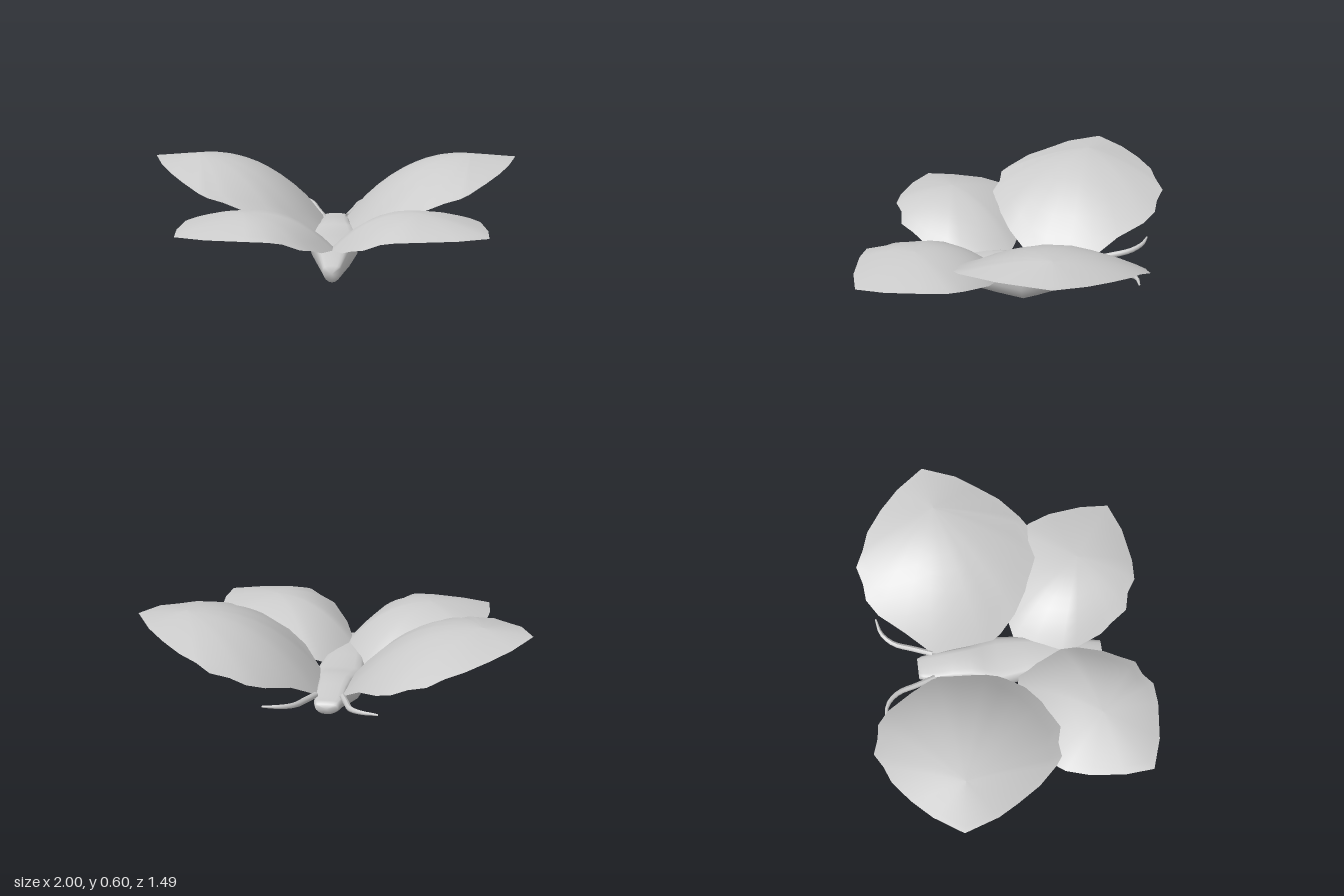
import * as THREE from 'three';

const material = new THREE.MeshStandardMaterial({ color: 0xcccccc, side: THREE.DoubleSide });

function meshFrom(name, positions, index) {
  const geometry = new THREE.BufferGeometry();
  geometry.setAttribute('position', new THREE.Float32BufferAttribute(positions, 3));
  geometry.setIndex(index);
  geometry.computeVertexNormals();
  const mesh = new THREE.Mesh(geometry, material);
  mesh.name = name;
  return mesh;
}

// Domed wing skin: rings spread from a crown point to an [x, y, z] outline.
// The curve is rounder at the root than at the tip.
// hole is the fraction of the outline left open around the crown.
function wingSkin(name, side, crown, outline, rootPower, tipPower, hole = 0) {
  const n = outline.length;
  const rings = 8;
  const positions = [];
  const index = [];
  for (let r = 0; r <= rings; r++) {
    const t = hole + (1 - hole) * (r / rings);
    outline.forEach(([x, y, z], j) => {
      const drop = Math.pow(t, rootPower + (tipPower - rootPower) * x);
      positions.push(
        side * (crown[0] + (x - crown[0]) * t),
        crown[1] + (y - crown[1]) * drop,
        crown[2] + (z - crown[2]) * t
      );
      if (r === rings) return;
      const k = (j + 1) % n;
      const a = r * n;
      const b = a + n;
      index.push(a + j, b + j, b + k, a + j, b + k, a + k);
    });
  }
  return meshFrom(name, positions, index);
}

// Body lofted through sections of [z, half width, bottom, top]
function body() {
  const sections = [
    [0.52, 0.045, 0.105, 0.19], [0.3, 0.082, 0.06, 0.225], [0.1, 0.115, 0.022, 0.235],
    [-0.05, 0.135, 0, 0.225], [-0.13, 0.115, 0.025, 0.24], [-0.2, 0.092, 0.05, 0.245],
    [-0.3, 0.082, 0.088, 0.24], [-0.41, 0.076, 0.128, 0.217], [-0.46, 0.067, 0.145, 0.22],
    [-0.485, 0.058, 0.155, 0.21]
  ];
  const n = 16;
  const positions = [];
  const index = [];
  sections.forEach(([z, w, low, high], i) => {
    const mid = low + (high - low) * 0.68;
    for (let j = 0; j < n; j++) {
      const a = (j / n) * Math.PI * 2;
      const c = Math.cos(a);
      const s = Math.sin(a);
      // Square shoulders above, round belly below
      if (s > 0) {
        positions.push(w * Math.sign(c) * Math.abs(c) ** 0.6, mid + s ** 0.6 * (high - mid), z);
      } else {
        positions.push(w * c, mid + s * (mid - low), z);
      }
      if (i === sections.length - 1) continue;
      const p = i * n + j;
      const q = i * n + ((j + 1) % n);
      index.push(p, p + n, q, q, p + n, q + n);
    }
  });
  // Softly shaded end caps
  [0, sections.length - 1].forEach((i) => {
    const [z, , low, high] = sections[i];
    const centre = positions.length / 3;
    positions.push(0, (low + high) / 2, z);
    for (let j = 0; j < n; j++) {
      const p = i * n + j;
      const q = i * n + ((j + 1) % n);
      if (i === 0) index.push(centre, p, q);
      else index.push(centre, q, p);
    }
  });
  return meshFrom('body', positions, index);
}

function antenna(name, side) {
  const curve = new THREE.CatmullRomCurve3([
    [0.07, 0.218, -0.4], [0.105, 0.232, -0.5], [0.14, 0.25, -0.6], [0.2, 0.265, -0.66], [0.285, 0.27, -0.682]
  ].map(([x, y, z]) => new THREE.Vector3(side * x, y, z)));
  const steps = 12;
  const sides = 8;
  const geometry = new THREE.TubeGeometry(curve, steps, 0.016, sides);
  // Taper towards the tip
  const pos = geometry.attributes.position;
  const v = new THREE.Vector3();
  for (let i = 0; i < pos.count; i++) {
    const u = Math.floor(i / (sides + 1)) / steps;
    const c = curve.getPointAt(u);
    v.fromBufferAttribute(pos, i).sub(c).multiplyScalar(1 - 0.7 * u ** 3).add(c);
    pos.setXYZ(i, v.x, v.y, v.z);
  }
  geometry.computeVertexNormals();
  const mesh = new THREE.Mesh(geometry, material);
  mesh.name = name;
  return mesh;
}

const foreOutline = [
  [0.06, 0.2, -0.28], [0.07, 0.22, -0.4], [0.17, 0.31, -0.53], [0.27, 0.36, -0.66],
  [0.35, 0.395, -0.715], [0.43, 0.43, -0.72], [0.52, 0.46, -0.745], [0.6, 0.49, -0.7],
  [0.69, 0.515, -0.665], [0.8, 0.54, -0.58], [0.9, 0.56, -0.48], [1, 0.58, -0.335],
  [0.94, 0.56, -0.16], [0.88, 0.535, -0.06], [0.8, 0.51, 0.06], [0.7, 0.47, 0.16],
  [0.65, 0.455, 0.195], [0.57, 0.43, 0.19], [0.48, 0.4, 0.215], [0.315, 0.345, 0.14],
  [0.21, 0.29, 0.07], [0.13, 0.225, -0.02], [0.07, 0.2, -0.12]
];

const hindOutline = [
  [0, 0.23, 0.3], [0.04, 0.2, 0.14], [0.11, 0.2, 0.05], [0.18, 0.225, 0.035],
  [0.32, 0.265, 0.02], [0.5, 0.31, 0.05], [0.65, 0.35, 0.14], [0.705, 0.36, 0.21],
  [0.745, 0.37, 0.33], [0.765, 0.37, 0.51], [0.755, 0.37, 0.66], [0.6, 0.37, 0.715],
  [0.41, 0.37, 0.74], [0.3, 0.365, 0.735], [0.235, 0.345, 0.69], [0.15, 0.31, 0.67],
  [0.1, 0.285, 0.59], [0.05, 0.255, 0.52], [0, 0.23, 0.38]
];

// Each wing is a domed upper skin over a flatter lower skin with a shared rim
function wing(name, side, outline, upperCrown, lowerCrown, hole) {
  const group = new THREE.Group();
  group.name = name;
  group.add(
    wingSkin(name + 'Upper', side, upperCrown, outline, 2.4, 1.2),
    wingSkin(name + 'Lower', side, lowerCrown, outline, 1.5, 1.5, hole)
  );
  return group;
}

export function createModel() {
  const model = new THREE.Group();
  model.name = 'butterfly';
  model.add(body());
  for (const [label, side] of [['left', 1], ['right', -1]]) {
    model.add(
      wing(label + 'Forewing', side, foreOutline, [0.75, 0.598, -0.3], [0.54, 0.495, -0.22], 0.28),
      wing(label + 'Hindwing', side, hindOutline, [0.44, 0.44, 0.44], [0.4, 0.385, 0.4], 0),
      antenna(label + 'Antenna', side)
    );
  }
  return model;
}
